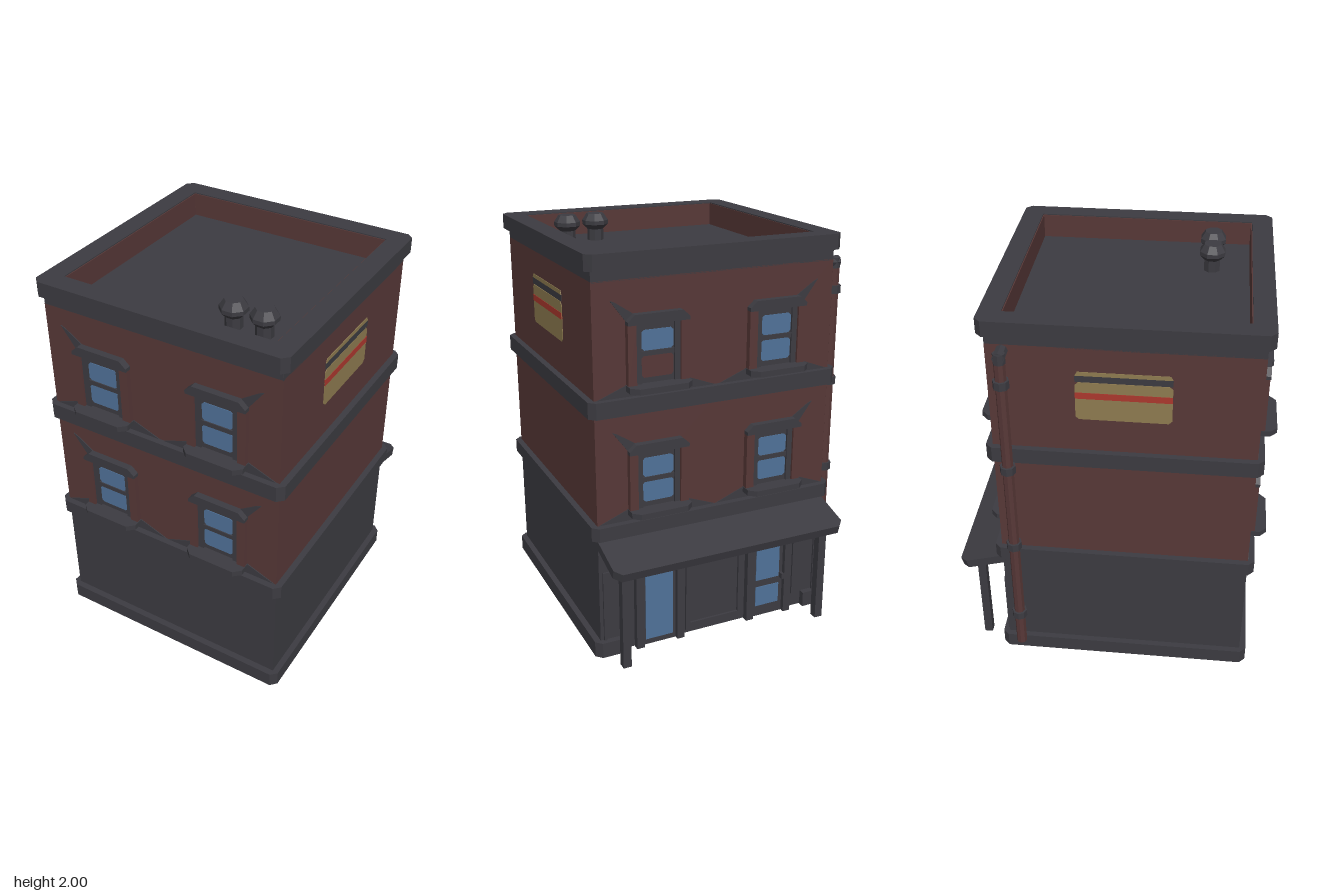
import * as THREE from 'three';

const flat = (name, color) => {
  const m = new THREE.MeshStandardMaterial({ color });
  m.name = name;
  return m;
};

export function createModel() {
  const grey = flat('dark stone', 0x3c3b41);
  const brick = flat('brick', 0x573837);
  const glass = flat('window glass', 0x507299);
  const tan = flat('sign cream', 0x8e7b50);
  const red = flat('sign red', 0xac382e);

  const root = new THREE.Group();
  root.name = 'building';
  const house = new THREE.Group();
  house.name = 'house';
  house.position.set(0.0325, 0, 0.07);
  root.add(house);

  const add = (parent, name, geo, mat, x = 0, y = 0, z = 0) => {
    const m = new THREE.Mesh(geo, mat);
    m.name = name;
    m.position.set(x, y, z);
    parent.add(m);
    return m;
  };
  // box given by its extents
  const box = (parent, name, mat, x0, x1, y0, y1, z0, z1) =>
    add(parent, name, new THREE.BoxGeometry(x1 - x0, y1 - y0, z1 - z0), mat,
      (x0 + x1) / 2, (y0 + y1) / 2, (z0 + z1) / 2);
  const shape = (pts) => new THREE.Shape(pts.map(([x, y]) => new THREE.Vector2(x, y)));
  const extrude = (s, depth) => new THREE.ExtrudeGeometry(s, { depth, bevelEnabled: false });
  // rectangle with cut corners
  const cutRect = (w, h, c) => [[w - c, -h], [w, -h + c], [w, h - c], [w - c, h],
    [-w + c, h], [-w, h - c], [-w, -h + c], [-w + c, -h]];
  // horizontal slab, optionally with a square opening
  const slab = (name, mat, pts, y0, y1, hole = 0) => {
    const s = shape(pts);
    if (hole) s.holes.push(new THREE.Path(cutRect(hole, hole, 0.0001).map(([x, y]) => new THREE.Vector2(x, y))));
    return add(house, name, extrude(s, y1 - y0).rotateX(-Math.PI / 2), mat, 0, y0, 0);
  };

  // main walls
  const B = 0.6175, band = cutRect(0.648, 0.65, 0.03), wall = cutRect(B, B, 0.001);
  box(house, 'groundFloor', grey, -B, B, 0.01, 0.66, -B, B);
  box(house, 'upperWalls', brick, -B, B, 0.66, 1.86, -B, B);

  // stone bands; the base band is left open along the shop front
  slab('baseBand', grey, [[0.618, -0.65], [0.648, -0.62], [0.648, 0.62], [0.618, 0.65], [0.52, 0.65], [0.52, 0.615],
    [-0.52, 0.615], [-0.52, 0.65], [-0.618, 0.65], [-0.648, 0.62], [-0.648, -0.62], [-0.618, -0.65]], 0, 0.08);
  slab('lowerBand', grey, band, 0.63, 0.70);
  slab('middleBand', grey, band, 1.24, 1.32);

  // parapet with brick lining around the sunken roof
  slab('roof', grey, wall, 1.855, 1.862);
  slab('frieze', grey, wall, 1.86, 1.915, 0.546);
  slab('parapetBand', grey, band, 1.91, 1.985, 0.546);
  slab('parapetLining', brick, cutRect(0.547, 0.547, 0.001), 1.86, 1.98, 0.541);

  // roof vents
  const ventProfile = [[0.042, 0], [0.042, 0.06], [0.067, 0.085], [0.067, 0.105], [0.044, 0.14], [0, 0.14]]
    .map(([r, y]) => new THREE.Vector2(r, y));
  const ventGeo = new THREE.LatheGeometry(ventProfile, 8, Math.PI / 8).toNonIndexed();
  ventGeo.computeVertexNormals();
  for (const x of [0.228, 0.382]) add(house, 'roofVent', ventGeo, grey, x, 1.86, 0.353);

  // drainpipe
  const cyl = (r, h) => {
    const g = new THREE.CylinderGeometry(r, r, h, 8).toNonIndexed();
    g.computeVertexNormals();
    return g;
  };
  const px = -0.677, pz = -0.54;
  add(house, 'drainpipe', cyl(0.027, 1.73), brick, px, 0.945, pz);
  for (const y of [0.285, 0.755, 1.225, 1.695]) add(house, 'pipeCollar', cyl(0.038, 0.04), grey, px, y, pz);
  add(house, 'pipeElbow', cyl(0.029, 0.05), grey, px, 1.825, pz);
  add(house, 'pipeOutlet', cyl(0.029, 0.09).rotateZ(Math.PI / 2), grey, px + 0.025, 1.83, pz);

  // one window; origin at the middle of the sill top on the wall plane, outer side = s
  const addWindow = (wallGroup, s, y, bricked) => {
    const g = new THREE.Group();
    g.name = 'window';
    g.position.set(s * 0.308, y, 0);
    wallGroup.add(g);
    const sill = shape([[-0.155, 0], [0.155, 0], [0.155, 0.055], [0.12, 0.088], [-0.12, 0.088], [-0.155, 0.055]]);
    add(g, 'sill', extrude(sill, 0.028).rotateX(Math.PI / 2), grey);
    const head = shape([[-0.152, 0.28], [0.152, 0.28], [0.152, 0.297], [0.118, 0.328], [-0.118, 0.328], [-0.152, 0.297]]);
    add(g, 'header', extrude(head, 0.034), grey);
    for (const k of [-1, 1]) {
      const [a, b] = [k * 0.11, k * 0.152].sort((p, q) => p - q);
      box(g, 'surround', brick, a, b, 0, 0.28, 0, 0.03);
    }
    box(g, 'sash', grey, -0.11, 0.11, 0, 0.28, 0, 0.008);
    for (const k of [-1, 1]) box(g, 'sashStile', grey, k * 0.096 - 0.014, k * 0.096 + 0.014, 0, 0.28, 0, 0.018);
    box(g, 'sashRail', grey, -0.082, 0.082, 0.129, 0.152, 0, 0.015);
    const pane = (h) => extrude(shape(cutRect(0.079, h, 0.012)), 0.003);
    add(g, 'upperPane', pane(0.048), glass, 0, 0.201, 0.008);
    add(g, 'lowerPane', pane(0.051), bricked ? brick : glass, 0, 0.077, 0.008);
    // dark patches on the brickwork
    add(g, 'sillPatch', extrude(shape([[-0.3, -0.058], [0.3, -0.058], [0.15, 0], [-0.15, 0]]), 0.004), grey);
    const wing = [[0.225, 0.396], [0.2, 0.385], [0.11, 0.325], [0.15, 0.295]].map(([x, v]) => [s * x, v]);
    add(g, 'headerPatch', extrude(shape(wing), 0.004), grey);
  };

  // front and back walls
  const front = new THREE.Group(), back = new THREE.Group();
  front.name = 'frontWall';
  front.position.z = B;
  back.name = 'backWall';
  back.position.z = -B;
  back.rotation.y = Math.PI;
  house.add(front, back);
  for (const g of [front, back])
    for (const y of [1.376, 0.76])
      for (const s of [-1, 1]) addWindow(g, s, y, g === back && s < 0 && y > 1);

  // shop front: frames, doors and panels
  const frame = (name, x, hw, y0, y1, t, d) => {
    box(back, name, grey, x - hw, x - hw + t, y0, y1, 0, d);
    box(back, name, grey, x + hw - t, x + hw, y0, y1, 0, d);
    box(back, name, grey, x - hw + t, x + hw - t, y1 - t, y1, 0, d);
  };
  for (const x of [-0.308, 0.308]) {
    frame('doorFrame', x, 0.13, 0, 0.465, 0.04, 0.033);
    box(back, 'door', grey, x - 0.09, x + 0.09, 0, 0.425, 0, 0.01);
  }
  box(back, 'doorGlass', glass, -0.382, -0.234, 0.03, 0.41, 0.01, 0.014);
  box(back, 'doorGlassUpper', glass, 0.24, 0.376, 0.21, 0.405, 0.01, 0.014);
  box(back, 'doorGlassLower', glass, 0.24, 0.376, 0.06, 0.17, 0.01, 0.014);
  box(back, 'doorHandle', grey, 0.38, 0.394, 0.2, 0.23, 0.01, 0.038);
  frame('panelFrame', 0, 0.16, 0.02, 0.45, 0.025, 0.012);
  box(back, 'panelFoot', grey, -0.16, 0.16, 0.02, 0.06, 0, 0.012);
  for (const x of [-0.53, 0.53]) frame('sidePanelFrame', x, 0.07, 0.08, 0.45, 0.015, 0.01);

  // canopy on two posts
  const roofShape = shape([[-0.618, 0], [0.618, 0], [0.618, 0.205], [0.585, 0.242], [-0.585, 0.242], [-0.618, 0.205]]);
  const canopy = add(back, 'canopy', extrude(roofShape, 0.045).rotateX(Math.PI / 2), grey, 0, 0.62, 0);
  canopy.rotation.x = 0.275;
  for (const x of [-0.54, 0.54]) box(back, 'canopyPost', grey, x - 0.021, x + 0.021, 0, 0.555, 0.114, 0.156);

  // painted signs on both side walls
  for (const s of [-1, 1]) {
    const sign = new THREE.Group();
    sign.name = 'paintedSign';
    sign.position.set(s * B, 0, -0.001);
    sign.rotation.y = s * Math.PI / 2;
    house.add(sign);
    const w = 0.22;
    add(sign, 'signBoard', extrude(shape(cutRect(w, 0.098, 0.015)), 0.003), tan, 0, 1.59, 0);
    box(sign, 'signStripe', red, -w, w, 1.603, 1.635, 0, 0.005);
    box(sign, 'signGap', grey, -w, w, 1.69, 1.722, 0, 0.003);
    add(sign, 'signTop', extrude(shape([[-w, 1.722], [w, 1.722], [w - 0.012, 1.742], [-w + 0.012, 1.742]]), 0.003), tan);
  }
  return root;
}
